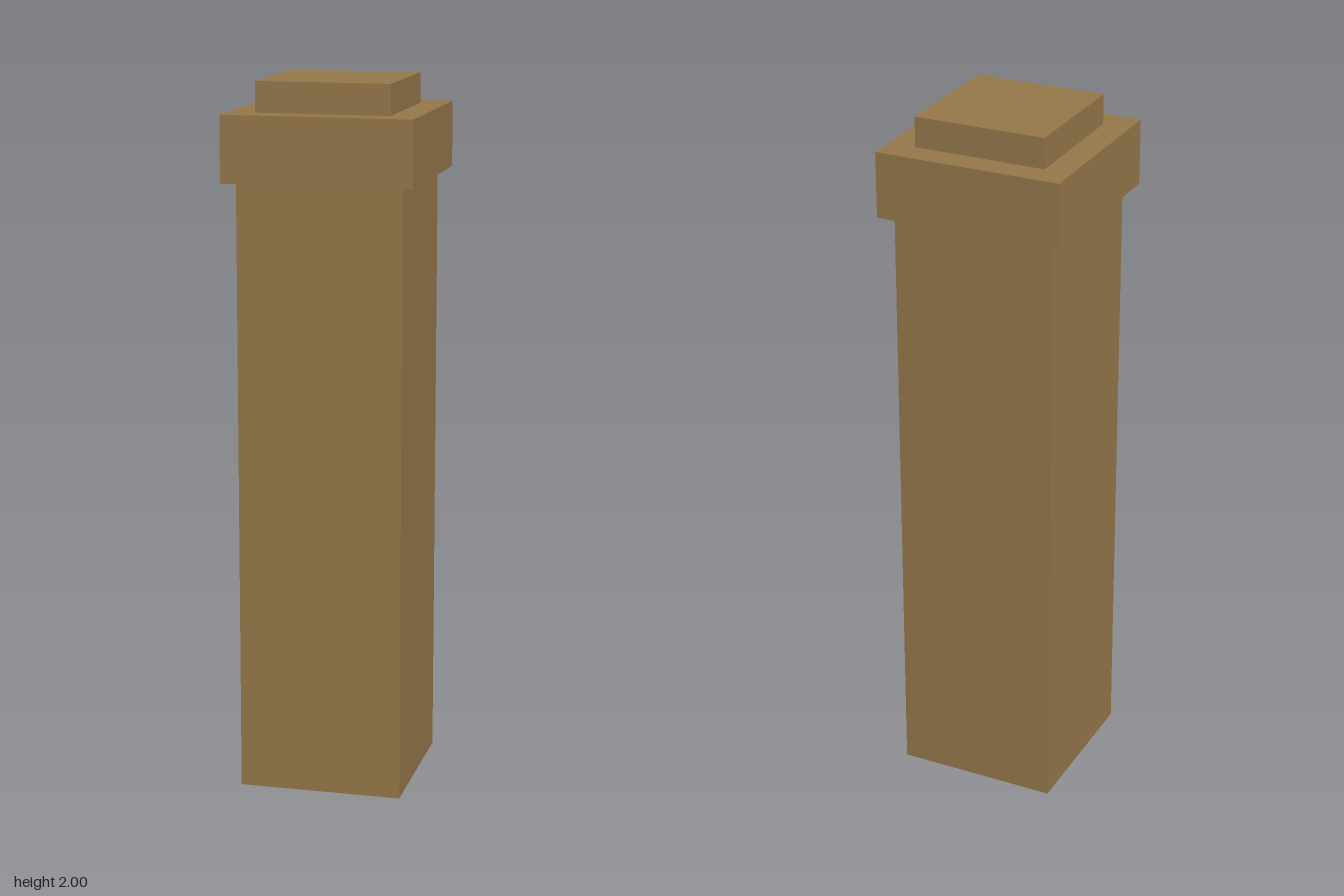
import * as THREE from 'three';

export function createModel() {
  const group = new THREE.Group();
  const material = new THREE.MeshStandardMaterial({
    color: 0x96784a, flatShading: true, side: THREE.DoubleSide,
  });

  const add = (name, geometry, bottom, top) => {
    const mesh = new THREE.Mesh(geometry, material);
    mesh.name = name;
    mesh.position.y = (bottom + top) / 2;
    group.add(mesh);
  };
  const slab = (name, width, bottom, top) =>
    add(name, new THREE.BoxGeometry(width, top - bottom, width), bottom, top);

  // Hollow square shaft, open at the bottom
  const shaftRadius = 0.231 * Math.SQRT2;
  const shaft = new THREE.CylinderGeometry(shaftRadius, shaftRadius, 1.73, 4, 1, true);
  shaft.rotateY(Math.PI / 4);
  add('shaft', shaft, 0, 1.73);

  // Overhanging collar and the smaller block on top
  slab('collar', 0.531, 1.73, 1.915);
  slab('topBlock', 0.376, 1.915, 2);

  return group;
}
